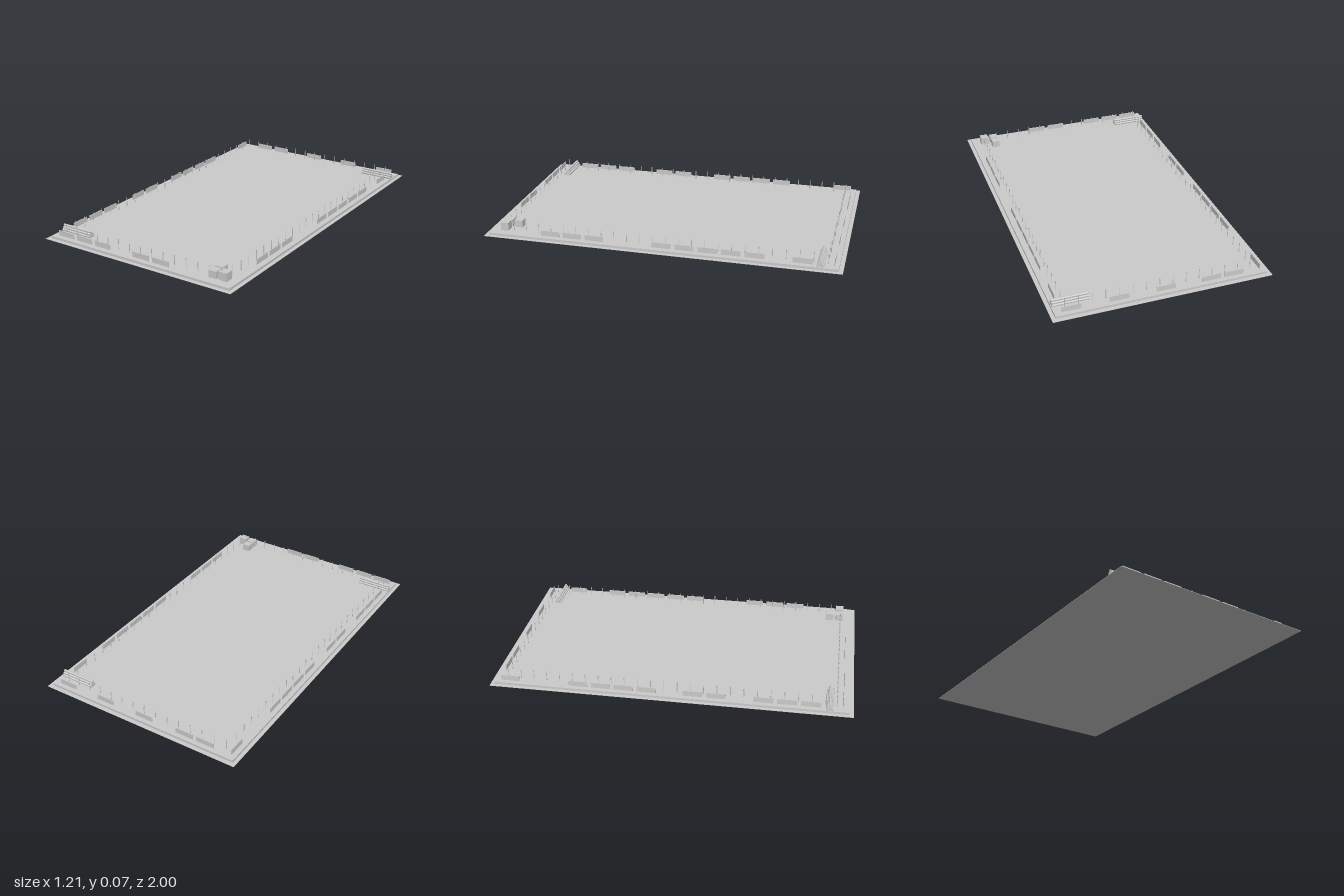
import * as THREE from 'three';

const material = new THREE.MeshStandardMaterial({ color: 0xcccccc });
const FLOOR = 0.015;

export function createModel() {
  const root = new THREE.Group();

  function add(name, geometry, x, y, z, parent = root) {
    const mesh = new THREE.Mesh(geometry, material);
    mesh.name = name;
    mesh.position.set(x, y, z);
    parent.add(mesh);
    return mesh;
  }
  function group(name) {
    const g = new THREE.Group();
    g.name = name;
    root.add(g);
    return g;
  }

  // Ground sheet and raised slab
  add('groundPlate', new THREE.BoxGeometry(1.21, 0.002, 2), 0, 0.001, 0);
  add('slab', new THREE.BoxGeometry(1.168, FLOOR - 0.002, 1.954), 0, (FLOOR + 0.002) / 2, 0);

  // Barrier panels on a regular pitch, with some slots left empty
  const pitch = 0.128, length = 0.107, height = 0.03, thin = 0.003;
  const panelX = new THREE.BoxGeometry(length, height, thin);
  const panelZ = new THREE.BoxGeometry(thin, height, length);
  const panels = group('barrierPanels');
  const y = FLOOR + height / 2;
  const alongX = (z, start, slots) => slots.forEach((k) =>
    add('barrierPanel', panelX, start + k * pitch + length / 2, y, z, panels));
  const alongZ = (x, start, slots) => slots.forEach((k) =>
    add('barrierPanel', panelZ, x, y, start + k * pitch + length / 2, panels));
  alongX(-0.95, -0.455, [0, 1, 3, 5, 7]);
  alongX(0.945, -0.553, [0, 1, 2, 4, 5]);
  alongZ(-0.555, -0.945, [0, 3, 4, 5, 6, 8, 9, 11, 12, 13]);
  alongZ(0.55, -0.838, [0, 2, 3, 4, 5, 6, 9, 10, 11]);

  // Slim posts just inside the barriers
  const postHeight = 0.057, step = 0.0735;
  const postGeo = new THREE.CylinderGeometry(0.002, 0.002, postHeight, 8);
  const posts = group('posts');
  const post = (x, z) => add('post', postGeo, x, FLOOR + postHeight / 2, z, posts);
  for (let k = 0; k < 15; k++) {
    post(-0.51 + k * step, -0.917);
    post(-0.53 + k * step, 0.91);
  }
  for (let k = 0; k < 24; k++) {
    const z = 0.85 - k * step;
    post(-0.52, z);
    post(0.52, z);
  }

  // Pyramids of stacked pipes in opposite corners
  const r = 0.0067;
  const pipeGeo = new THREE.CylinderGeometry(r, r, 0.2, 16).rotateZ(Math.PI / 2);
  for (const [x, z] of [[0.48, -0.88], [-0.482, 0.872]]) {
    const stack = group('pipeStack');
    for (let row = 0; row < 3; row++) {
      for (let i = 0; i < 3 - row; i++) {
        add('pipe', pipeGeo, x, FLOOR + r + row * r * Math.sqrt(3),
          z + (i - (2 - row) / 2) * 2 * r, stack);
      }
    }
  }

  // Crates in the front left corner
  const crates = group('crates');
  for (const [x, z, w, h] of [
    [0.449, 0.845, 0.046, 0.04], [0.449, 0.903, 0.046, 0.04], [0.51, 0.903, 0.048, 0.046],
  ]) add('crate', new THREE.BoxGeometry(w, h, 0.046), x, FLOOR + h / 2, z, crates);

  return root;
}
